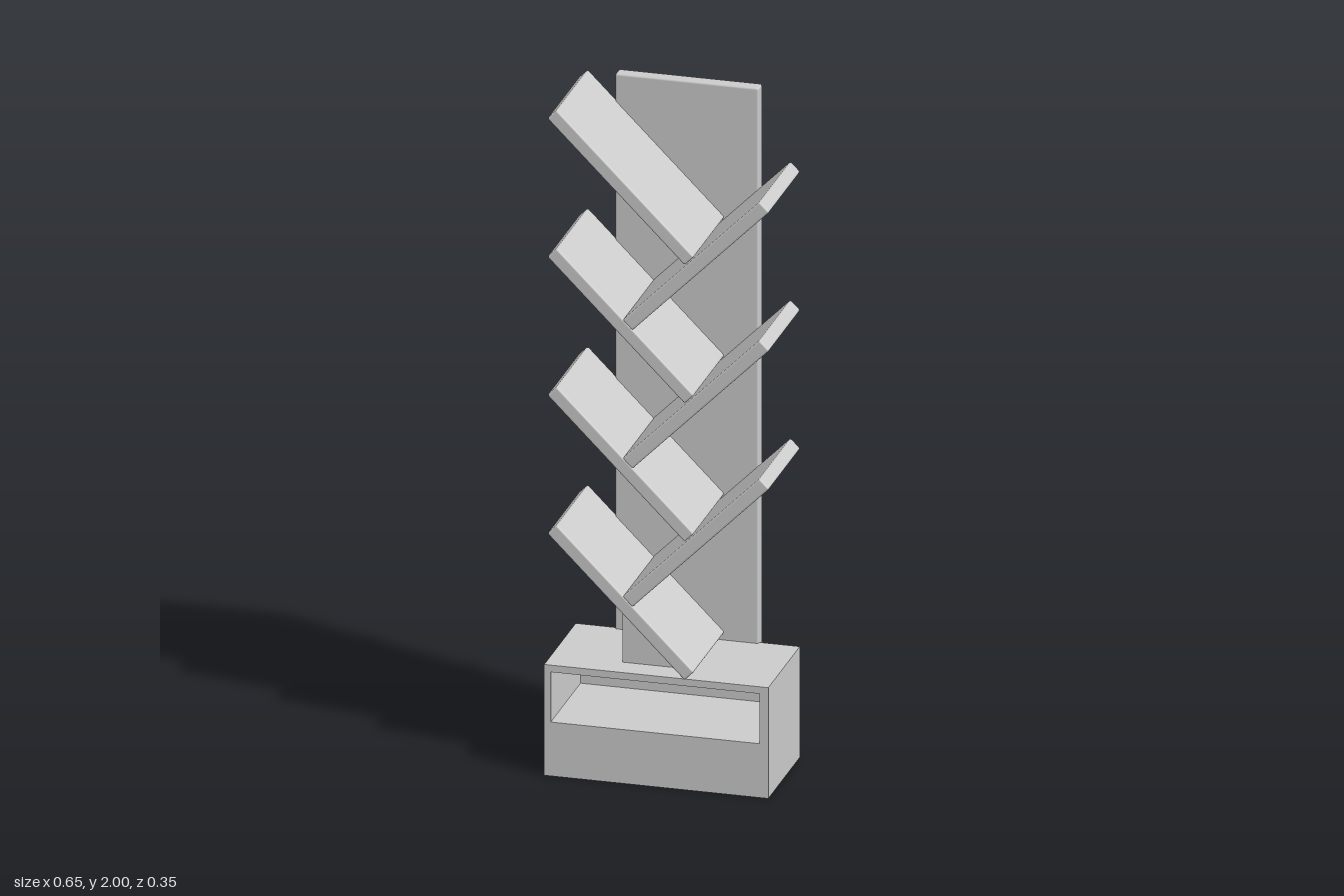
import * as THREE from 'three';
import { RoundedBoxGeometry } from 'three/addons/geometries/RoundedBoxGeometry.js';

const BACK = -0.148, FRONT = 0.176;

export function createModel() {
  const model = new THREE.Group();
  model.name = 'treeBookshelf';
  const material = new THREE.MeshStandardMaterial({ color: 0xcccccc });

  function add(parent, name, geometry, x = 0, y = 0, z = 0) {
    const mesh = new THREE.Mesh(geometry, material);
    mesh.name = name;
    mesh.position.set(x, y, z);
    parent.add(mesh);
    return mesh;
  }

  // Tall back board
  add(model, 'backBoard', new RoundedBoxGeometry(0.416, 2, 0.04, 2, 0.006), -0.002, 1, -0.158);

  // Slanted shelves: four lean left, three lean right, each resting on the one below
  const shelves = new THREE.Group();
  shelves.name = 'shelves';
  model.add(shelves);
  const depth = FRONT - BACK;
  const step = 0.4155;
  function shelf(name, x, y, angle) {
    const geometry = new RoundedBoxGeometry(0.563, 0.04, depth, 2, 0.006);
    add(shelves, name, geometry, x, y, (FRONT + BACK) / 2).rotation.z = angle;
  }
  for (let i = 0; i < 4; i++) shelf('leftLeaningShelf', -0.106, 0.5415 + i * step, -Math.PI / 4);
  for (let i = 0; i < 3; i++) shelf('rightLeaningShelf', 0.1125, 0.7445 + i * step, Math.PI / 4);

  // Wedge block holding up the lowest shelf
  const wedge = new THREE.Shape([
    new THREE.Vector2(-0.122, 0.325),
    new THREE.Vector2(0.085, 0.325),
    new THREE.Vector2(-0.122, 0.535),
  ]);
  add(model, 'shelfSupport', new THREE.ExtrudeGeometry(wedge, { depth: 0.245, bevelEnabled: false }), 0, 0, -0.145);

  // Base box with an open compartment at the front
  const base = new THREE.Group();
  base.name = 'base';
  model.add(base);
  const rect = (path, x0, y0, x1, y1) =>
    path.moveTo(x0, y0).lineTo(x1, y0).lineTo(x1, y1).lineTo(x0, y1).closePath();
  const outline = rect(new THREE.Shape(), -0.327, 0, 0.323, 0.333);
  outline.holes.push(rect(new THREE.Path(), -0.308, 0.162, 0.298, 0.312));
  const wall = 0.018;
  add(base, 'baseFrame',
    new THREE.ExtrudeGeometry(outline, { depth: depth - wall, bevelEnabled: false }), 0, 0, BACK + wall);
  add(base, 'baseBack', new THREE.BoxGeometry(0.65, 0.333, wall), -0.002, 0.1665, BACK + wall / 2);

  return model;
}
